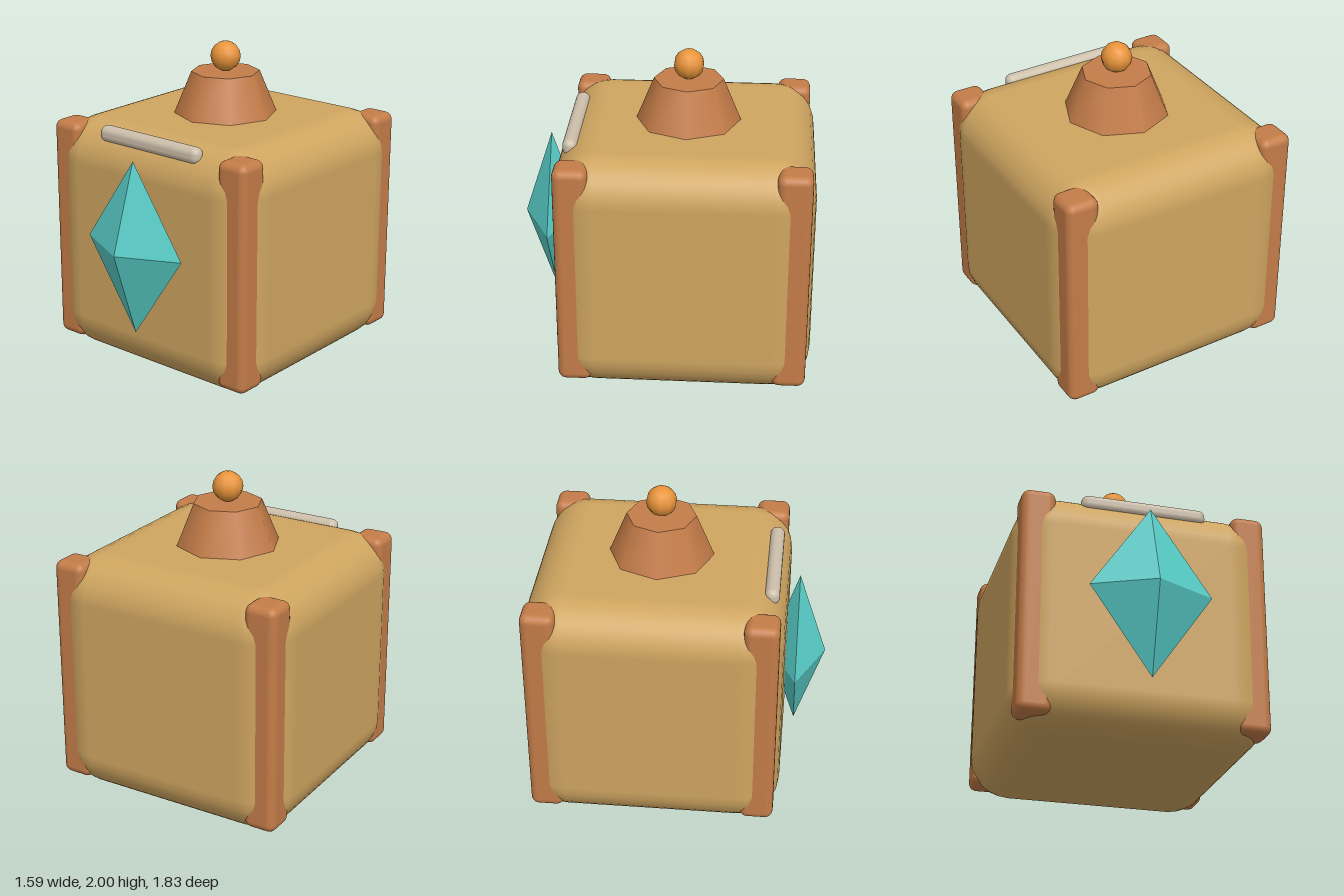
import * as THREE from 'three';
import { RoundedBoxGeometry } from 'three/addons/geometries/RoundedBoxGeometry.js';

export function createModel() {
  const model = new THREE.Group();
  const midZ = -0.125; // depth centre of the body

  const add = (name, geometry, color, x, y, z, flatShading = false) => {
    const material = new THREE.MeshStandardMaterial({ color, flatShading });
    const mesh = new THREE.Mesh(geometry, material);
    mesh.name = name;
    mesh.position.set(x, y, z);
    model.add(mesh);
    return mesh;
  };

  // Soft-edged box body
  add('body', new RoundedBoxGeometry(1.585, 1.545, 1.585, 4, 0.26), 0xcfa560, 0, 0.7725, midZ);

  // Four upright corner posts
  for (const [sideName, sx] of [['left', 1], ['right', -1]]) {
    for (const [endName, sz] of [['Front', 1], ['Back', -1]]) {
      add(sideName + endName + 'Post', new RoundedBoxGeometry(0.21, 1.44, 0.21, 3, 0.05),
        0xc47c48, sx * 0.665, 0.8, midZ + sz * 0.66);
    }
  }

  // Pale bar along the upper front edge
  add('frontBar', new RoundedBoxGeometry(0.79, 0.105, 0.09, 3, 0.044), 0xcdbfab, 0, 1.492, 0.575);

  // Eight-sided tapered lid knob with a ball on top
  add('lidCone', new THREE.CylinderGeometry(0.215, 0.33, 0.28, 8), 0xc47c48, 0, 1.67, midZ);
  add('lidBall', new THREE.SphereGeometry(0.095, 10, 8), 0xe8943a, 0, 1.905, midZ);

  // Faceted gem on the front face
  const gem = add('gem', new THREE.OctahedronGeometry(1), 0x58cdc8, 0, 0.87, 0.735, true);
  gem.scale.set(0.378, 0.552, 0.18);

  return model;
}
